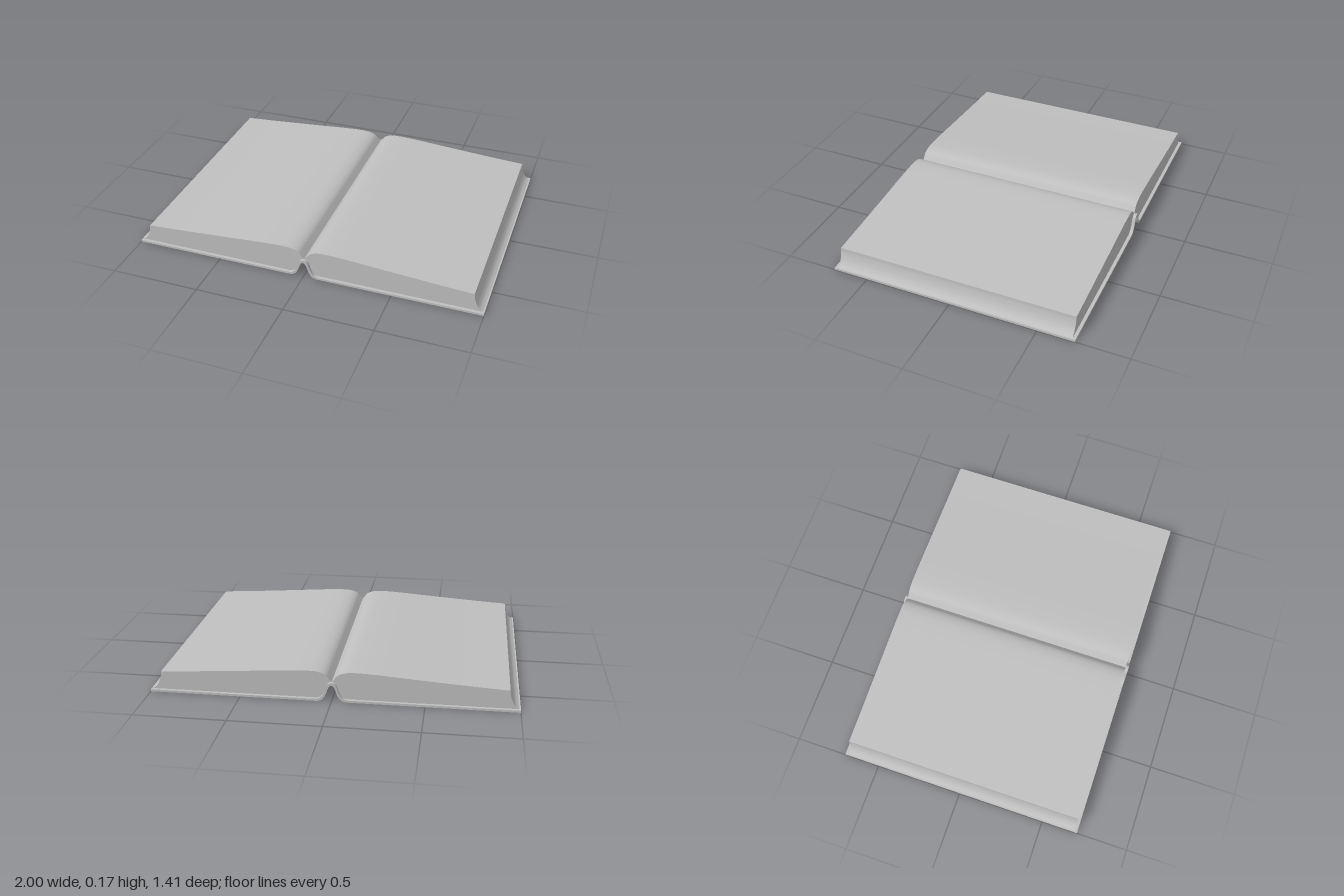
import * as THREE from 'three';
import { toCreasedNormals } from 'three/addons/utils/BufferGeometryUtils.js';

const vec = ([x, y]) => new THREE.Vector2(x, y);
const smooth = (points, n) => new THREE.SplineCurve(points.map(vec)).getPoints(n);
const mirror = (points) => points.map((p) => new THREE.Vector2(-p.x, p.y));

// Extrude an outline along z, centred, with soft curves and sharp corners
function extrude(points, depth) {
  const geometry = new THREE.ExtrudeGeometry(new THREE.Shape(points), {
    depth, bevelEnabled: false, steps: 1,
  });
  geometry.translate(0, 0, -depth / 2);
  return toCreasedNormals(geometry, 0.6);
}

export function createModel() {
  const group = new THREE.Group();
  group.name = 'openBook';
  const grey = new THREE.MeshStandardMaterial({ color: 0xbfbfbf });
  grey.name = 'plain grey';

  const add = (name, points, depth) => {
    const mesh = new THREE.Mesh(extrude(points, depth), grey);
    mesh.name = name;
    group.add(mesh);
  };

  // Spine curves of the right half, from the ridge down to the flat board
  const spineTop = smooth([[0, 0.108], [0.014, 0.104], [0.027, 0.087],
    [0.04, 0.05], [0.056, 0.025], [0.075, 0.014], [0.095, 0.012]], 24);
  const spineUnder = smooth([[0, 0.093], [0.011, 0.088], [0.019, 0.073],
    [0.031, 0.04], [0.046, 0.015], [0.065, 0.003], [0.085, 0]], 24);

  // Cover: two boards joined by the raised spine
  const top = [...spineTop, vec([1, 0.012])];
  const under = [...spineUnder, vec([1, 0])];
  add('cover', [
    ...mirror(top).reverse(), ...top.slice(1),
    ...under.slice().reverse(), ...mirror(under).slice(1),
  ], 1.414);

  // Page blocks: bulging top, concave fore edge, underside following the spine
  const pageTop = smooth([[0, 0.108], [0.012, 0.122], [0.038, 0.149], [0.08, 0.163],
    [0.14, 0.166], [0.25, 0.161], [0.5, 0.143], [0.75, 0.126], [0.94, 0.115]], 56);
  const foreEdge = smooth([[0.94, 0.115], [0.943, 0.09], [0.955, 0.052],
    [0.972, 0.026], [0.992, 0.012]], 18);
  const pages = [...pageTop, ...foreEdge.slice(1), ...spineTop.slice(1).reverse()];
  add('leftPages', pages, 1.378);
  add('rightPages', mirror(pages), 1.378);

  return group;
}
